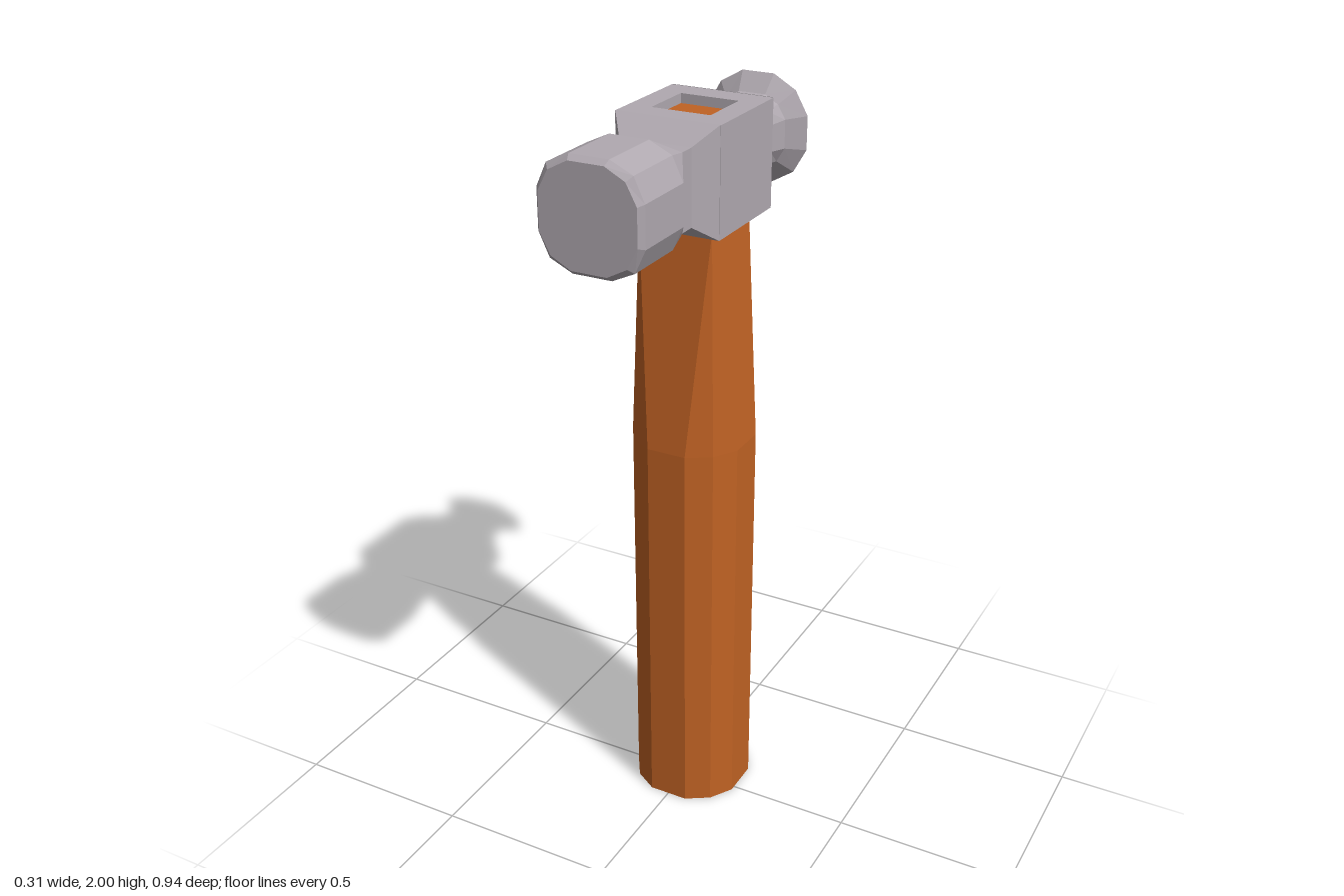
import * as THREE from 'three';

// Twelve-point rounded square: f = half flat side, c = corner, e = outer extent
function ring(w, f, c, e) {
  const pts = [];
  for (let q = 0; q < 4; q++) {
    const cos = Math.round(Math.cos(q * Math.PI / 2));
    const sin = Math.round(Math.sin(q * Math.PI / 2));
    for (const [u, v] of [[e, f], [c, c], [f, e]]) {
      pts.push(new THREE.Vector3(u * cos - v * sin, u * sin + v * cos, w));
    }
  }
  return pts;
}
const square = (w, s) => ring(w, s, s, s);

// Skin rings in order of increasing z, closing both ends
function loft(rings) {
  const pos = [];
  const tri = (a, b, c) => {
    const area = b.clone().sub(a).cross(c.clone().sub(a)).length();
    if (area > 1e-9) pos.push(...a.toArray(), ...b.toArray(), ...c.toArray());
  };
  const n = rings[0].length;
  const first = rings[0], last = rings[rings.length - 1];
  const c0 = new THREE.Vector3(0, 0, first[0].z);
  const c1 = new THREE.Vector3(0, 0, last[0].z);
  for (let j = 0; j < n; j++) {
    const k = (j + 1) % n;
    for (let i = 0; i < rings.length - 1; i++) {
      const a = rings[i], b = rings[i + 1];
      tri(a[j], a[k], b[k]);
      tri(a[j], b[k], b[j]);
    }
    tri(c0, first[k], first[j]);
    tri(c1, last[j], last[k]);
  }
  const geo = new THREE.BufferGeometry();
  geo.setAttribute('position', new THREE.Float32BufferAttribute(pos, 3));
  geo.computeVertexNormals();
  return geo;
}

function rect(path, hx, hy) {
  path.moveTo(-hx, -hy);
  path.lineTo(hx, -hy);
  path.lineTo(hx, hy);
  path.lineTo(-hx, hy);
  path.closePath();
  return path;
}

export function createModel() {
  const steel = new THREE.MeshStandardMaterial({ color: 0xb0a9b0, flatShading: true });
  steel.name = 'steel';
  const wood = new THREE.MeshStandardMaterial({ color: 0xc06224, flatShading: true });
  wood.name = 'wood';

  const group = new THREE.Group();
  group.name = 'hammer';
  const add = (name, geo, mat, y, z) => {
    const mesh = new THREE.Mesh(geo, mat);
    mesh.name = name;
    mesh.position.set(0, y, z);
    group.add(mesh);
  };

  // Handle: straight grip, taper to a square neck, tenon inside the head
  const handle = loft([
    ring(0, 0.055, 0.118, 0.157),
    ring(1.12, 0.055, 0.118, 0.157),
    square(1.72, 0.102),
    square(1.74, 0.081),
    square(1.975, 0.081),
  ]).rotateX(-Math.PI / 2);
  add('handle', handle, wood, 0, -0.04);

  // Head block with a square eye
  const outline = rect(new THREE.Shape(), 0.142, 0.1425);
  outline.holes.push(rect(new THREE.Path(), 0.08, 0.075));
  const block = new THREE.ExtrudeGeometry(outline, { depth: 0.28, bevelEnabled: false });
  block.rotateX(-Math.PI / 2);
  add('headBlock', block, steel, 1.72, -0.0425);

  // Striking face and its neck
  add('strikingFace', loft([
    square(0.1, 0.141),
    square(0.16, 0.097),
    square(0.205, 0.097),
    ring(0.28, 0.052, 0.112, 0.14),
    ring(0.455, 0.052, 0.112, 0.14),
    ring(0.47, 0.047, 0.1, 0.128),
  ]), steel, 1.86, 0);

  // Ball peen and its neck
  add('ballPeen', loft([
    ring(-0.47, 0.018, 0.032, 0.038),
    ring(-0.445, 0.038, 0.078, 0.1),
    ring(-0.393, 0.045, 0.108, 0.144),
    ring(-0.357, 0.038, 0.075, 0.097),
    ring(-0.303, 0.035, 0.07, 0.083),
    square(-0.25, 0.1),
    square(-0.185, 0.141),
  ]), steel, 1.86, 0);

  return group;
}
